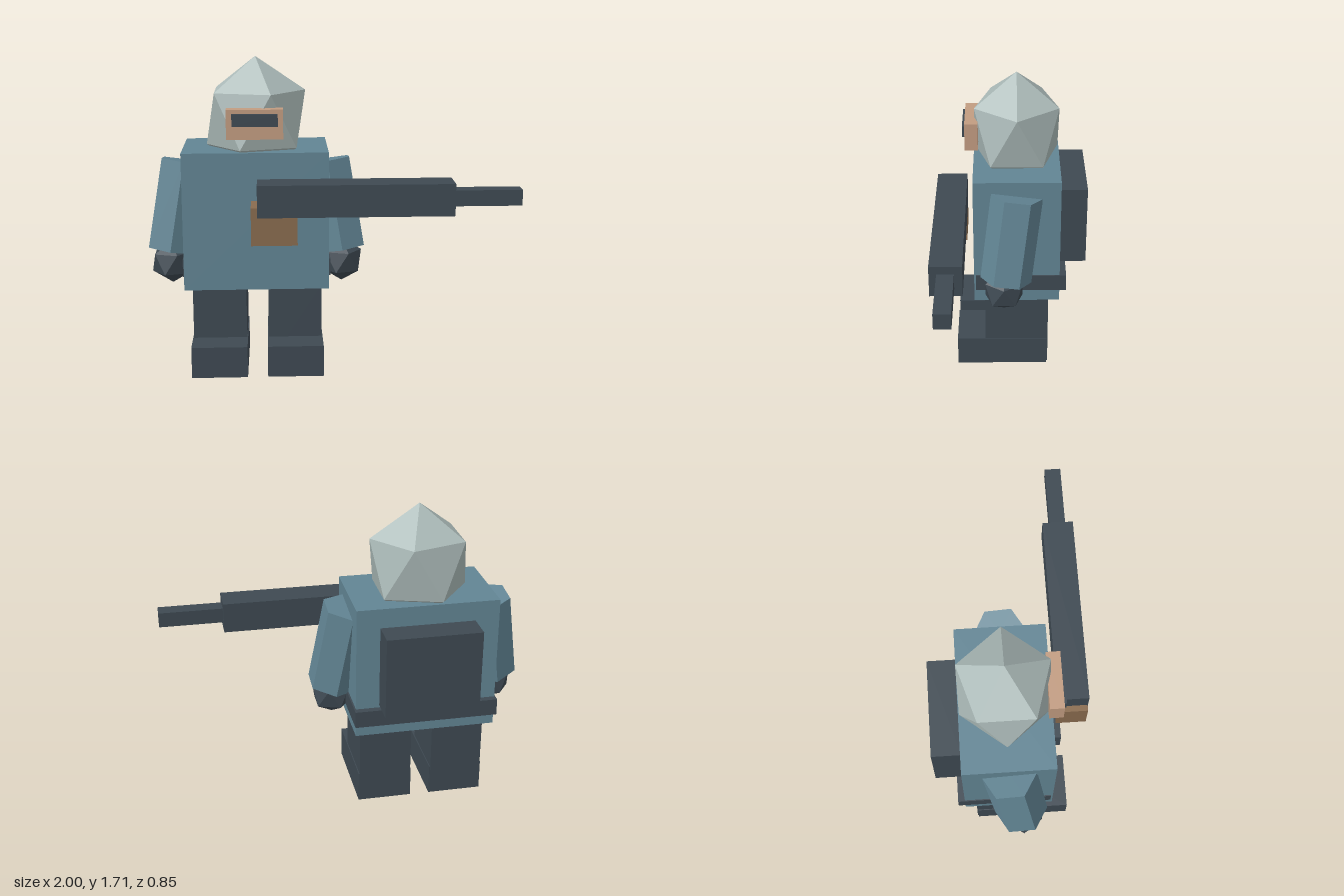
import * as THREE from 'three';
import { ConvexGeometry } from 'three/addons/geometries/ConvexGeometry.js';

const MID = -0.405; // x of the figure's own centre line

export function createModel() {
  const model = new THREE.Group();
  model.name = 'armouredFigure';

  const paint = (name, color) => {
    const m = new THREE.MeshStandardMaterial({ color });
    m.name = name;
    return m;
  };
  const blue = paint('blueCloth', 0x628594);
  const dark = paint('darkSteel', 0x3e4952);
  const grey = paint('paleHelmet', 0xacbbb9);
  const skin = paint('tan', 0xc29c81);
  const brown = paint('brownGrip', 0x896b4e);

  const add = (name, geometry, material) => {
    const mesh = new THREE.Mesh(geometry, material);
    mesh.name = name;
    model.add(mesh);
    return mesh;
  };

  // Box given by its lower and upper bounds on each axis
  const box = (name, material, [x0, x1], [y0, y1], [z0, z1]) =>
    add(name, new THREE.BoxGeometry(x1 - x0, y1 - y0, z1 - z0), material)
      .position.set((x0 + x1) / 2, (y0 + y1) / 2, (z0 + z1) / 2);

  // Icosahedron standing on a pole, with an upper-ring corner at +x
  const ball = (name, material, pos, rx, ry, rz) => {
    const points = [new THREE.Vector3(0, ry, 0), new THREE.Vector3(0, -ry, 0)];
    const h = 1 / Math.sqrt(5);
    for (let i = 0; i < 10; i++) {
      const a = (i * Math.PI) / 5;
      points.push(new THREE.Vector3(
        2 * h * rx * Math.cos(a), (i % 2 ? -h : h) * ry, 2 * h * rz * Math.sin(a)));
    }
    add(name, new ConvexGeometry(points), material).position.set(...pos);
  };

  // Body
  box('torso', blue, [-0.8, -0.013], [0.467, 1.222], [-0.27, 0.217]);
  box('belt', dark, [-0.806, -0.004], [0.54, 0.635], [-0.307, 0.206]);
  box('backpack', dark, [-0.667, -0.143], [0.65, 1.112], [-0.424, -0.265]);

  // Head
  ball('helmet', grey, [-0.402, 1.38, -0.027], 0.303, 0.332, 0.279);
  box('visor', skin, [-0.555, -0.255], [1.302, 1.46], [0.19, 0.264]);
  box('visorSlit', dark, [-0.525, -0.283], [1.372, 1.438], [0.2, 0.277]);

  // Limbs, mirrored about the figure's centre line
  for (const [side, s] of [['left', 1], ['right', -1]]) {
    const hip = MID + s * 0.207;
    box(side + 'Leg', dark, [hip - 0.147, hip + 0.147], [0.013, 0.47], [-0.209, 0.157]);
    box(side + 'Boot', dark, [hip - 0.152, hip + 0.152], [0, 0.173], [-0.202, 0.321]);

    const sleeve = new THREE.CylinderGeometry(0.144, 0.144, 0.497, 6).toNonIndexed();
    sleeve.computeVertexNormals();
    const arm = add(side + 'Arm', sleeve, blue);
    arm.position.set(MID + s * 0.428, 0.895, 0.005);
    arm.rotation.set(-0.127, 0, s * 0.162);

    ball(side + 'Hand', dark, [MID + s * 0.469, 0.588, 0.047], 0.123, 0.122, 0.123);
  }

  // Gun held across the chest
  box('gunBody', dark, [-0.396, 0.64], [0.916, 1.088], [0.255, 0.425]);
  box('gunBarrel', dark, [0.6, 1], [0.96, 1.045], [0.297, 0.386]);
  box('gunGrip', brown, [-0.429, -0.186], [0.767, 0.97], [0.257, 0.423]);

  return model;
}
